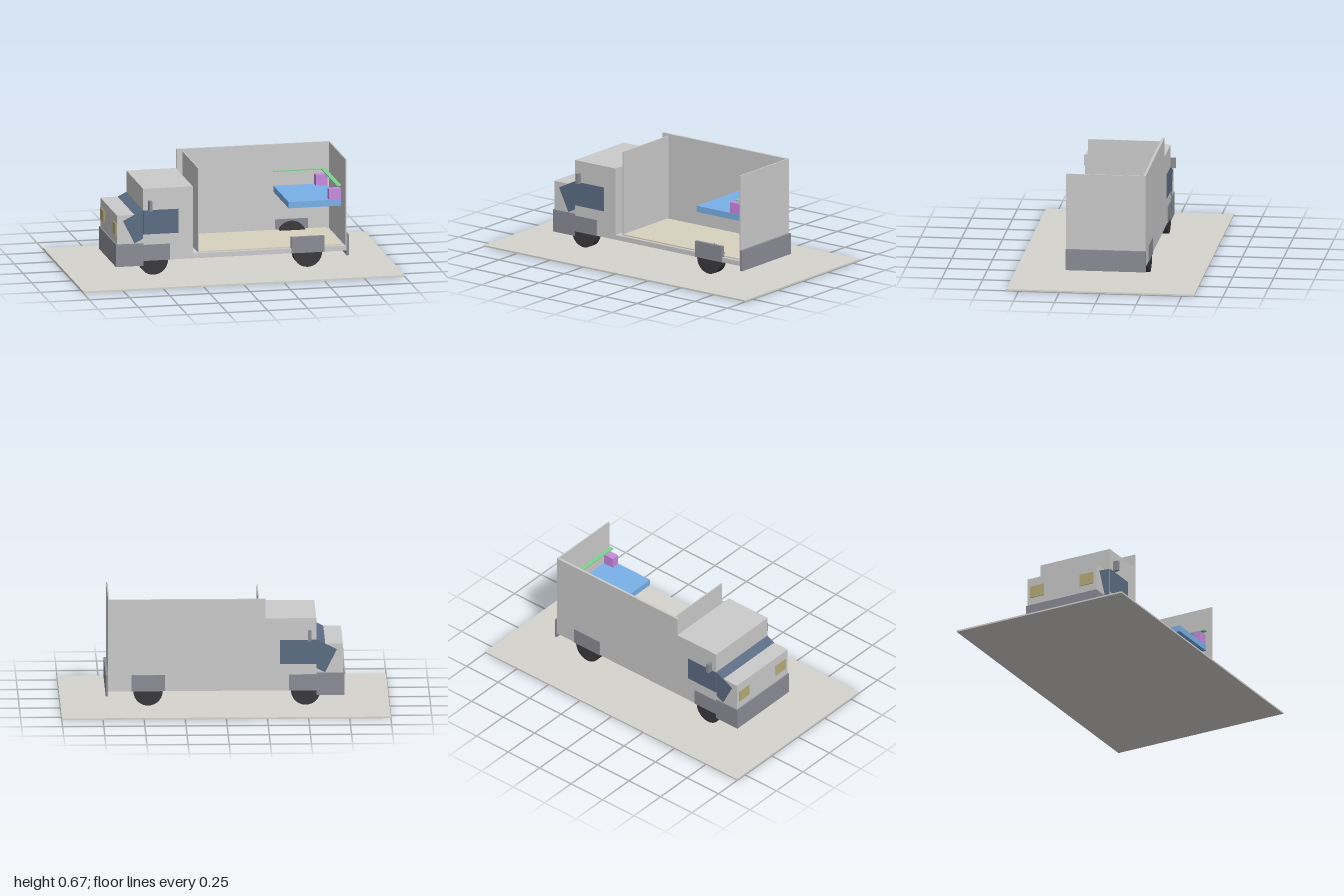
import * as THREE from 'three';

const material = (color) => new THREE.MeshStandardMaterial({ color });

export function createModel() {
  const model = new THREE.Group();
  const grey = material(0xcccccc);
  const trim = material(0x8c8c96);
  const glass = material(0x5c6d84);
  const floorMat = material(0xd8d2c0);
  const groundMat = material(0xd6d4ce);
  const blue = material(0x7ab0e8);
  const purple = material(0xc88ae0);
  const green = material(0x82d296);
  const tyre = material(0x3a3a3e);
  const lamp = material(0xb8ae78);

  // Box given by its low and high limits on each axis
  const box = (name, mat, [x0, x1], [y0, y1], [z0, z1]) => {
    const mesh = new THREE.Mesh(new THREE.BoxGeometry(x1 - x0, y1 - y0, z1 - z0), mat);
    mesh.name = name;
    mesh.position.set((x0 + x1) / 2, (y0 + y1) / 2, (z0 + z1) / 2);
    model.add(mesh);
    return mesh;
  };
  // The same box on both sides of the vehicle
  const pair = (name, mat, x, y, [z0, z1]) => {
    box(name, mat, x, y, [z0, z1]);
    box(name, mat, x, y, [-z1, -z0]);
  };

  box('ground', groundMat, [-1, 1], [0, 0.01], [-0.575, 0.575]);

  // Cab and bonnet
  box('cab', grey, [-0.555, -0.247], [0.1, 0.55], [-0.243, 0.243]);
  box('bonnet', grey, [-0.717, -0.555], [0.1, 0.39], [-0.24, 0.24]);

  // Tilted windscreen block, sunk into the bonnet and cab
  const screen = new THREE.Mesh(new THREE.BoxGeometry(0.17, 0.16, 0.482), glass);
  screen.name = 'windscreen';
  const tilt = 0.46;
  screen.rotation.z = tilt;
  screen.position.set(
    -0.68 + 0.085 * Math.cos(tilt) + 0.08 * Math.sin(tilt),
    0.355 + 0.085 * Math.sin(tilt) - 0.08 * Math.cos(tilt),
    0
  );
  model.add(screen);

  pair('sideWindow', glass, [-0.555, -0.335], [0.265, 0.415], [0.24, 0.246]);
  pair('mirror', trim, [-0.525, -0.505], [0.414, 0.477], [0.248, 0.28]);
  pair('headlight', lamp, [-0.722, -0.712], [0.26, 0.335], [0.125, 0.22]);
  box('frontBumper', trim, [-0.725, -0.555], [0.07, 0.21], [-0.245, 0.245]);
  box('rearBumper', trim, [0.71, 0.725], [0.07, 0.2], [-0.245, 0.245]);

  // Cargo body, open at the top and on the +z side
  box('chassis', grey, [-0.247, 0.71], [0.1, 0.13], [-0.243, 0.243]);
  box('floor', floorMat, [-0.205, 0.68], [0.13, 0.137], [-0.222, 0.222]);
  box('sideWall', grey, [-0.247, 0.71], [0.1, 0.67], [-0.243, -0.228]);
  box('rearWall', grey, [0.702, 0.71], [0.1, 0.67], [-0.243, 0.243]);
  box('bulkhead', grey, [-0.21, -0.203], [0.13, 0.657], [-0.228, 0.222]);

  // Bed, bedside boxes and shelf
  box('bed', blue, [0.355, 0.68], [0.375, 0.414], [-0.216, 0.216]);
  pair('bedsideBox', purple, [0.607, 0.68], [0.414, 0.48], [0.164, 0.214]);
  box('rearShelf', green, [0.652, 0.68], [0.5, 0.506], [-0.222, 0.222]);
  box('sideShelf', green, [0.355, 0.68], [0.5, 0.506], [-0.226, -0.214]);

  // Wheels and their arches
  for (const x of [-0.49, 0.468]) {
    pair('wheelArch', trim, [x - 0.102, x + 0.102], [0.1, 0.2], [0.226, 0.247]);
    for (const side of [-1, 1]) {
      const wheel = new THREE.Mesh(new THREE.CylinderGeometry(0.089, 0.089, 0.055, 32), tyre);
      wheel.name = 'wheel';
      wheel.rotation.x = Math.PI / 2;
      wheel.position.set(x, 0.099, side * 0.2155);
      model.add(wheel);
    }
  }
  return model;
}
